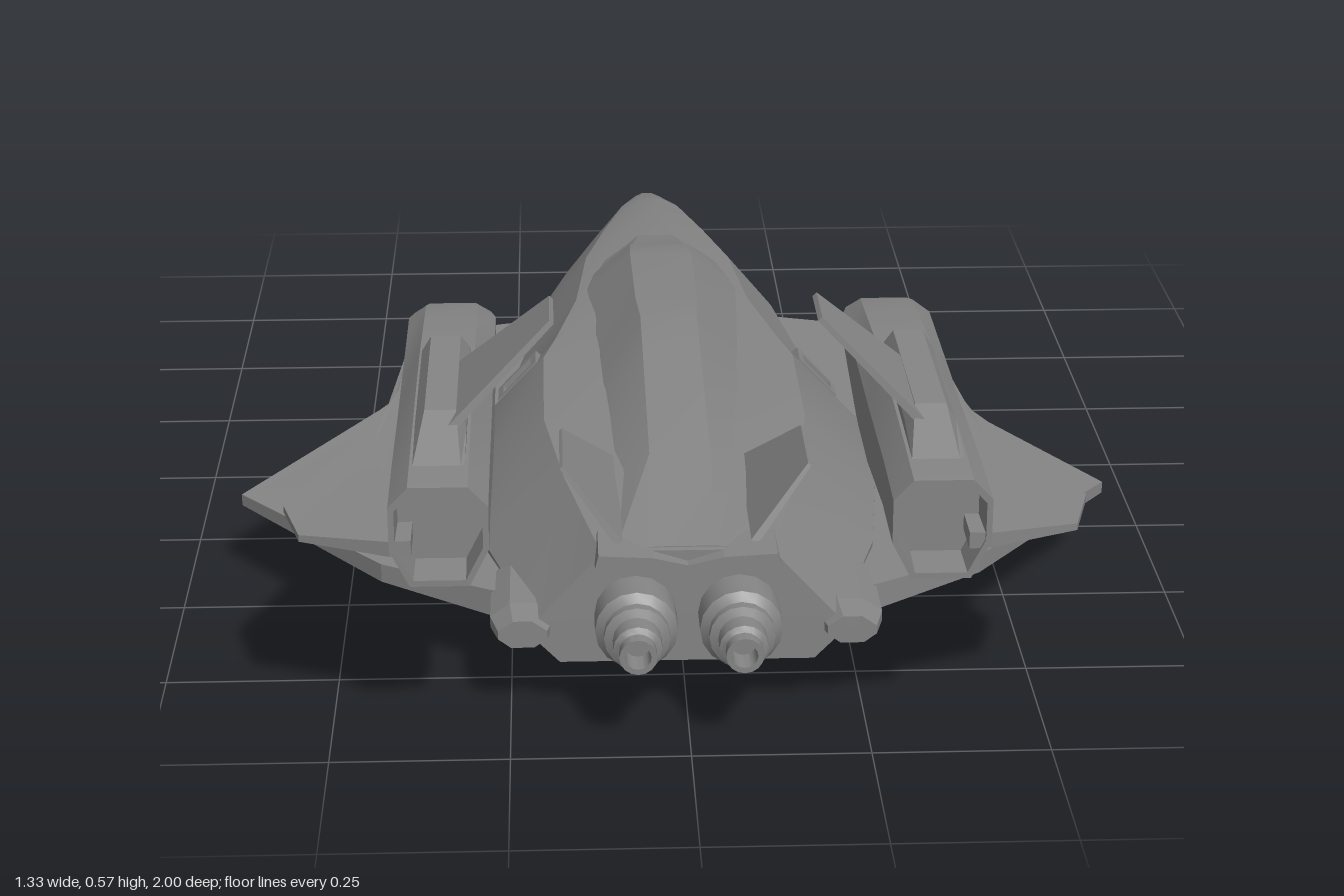
import * as THREE from 'three';
import { toCreasedNormals } from 'three/addons/utils/BufferGeometryUtils.js';

const material = new THREE.MeshStandardMaterial({ color: 0x858585, side: THREE.DoubleSide });

// Skins a list of closed rings, caps both ends, and turns the faces outward
function loft(name, rings, crease = 0.3) {
  const n = rings[0].length, pos = rings.flat(2), idx = [];
  for (let r = 0; r < rings.length - 1; r++) {
    for (let i = 0; i < n; i++) {
      const a = r * n + i, b = r * n + (i + 1) % n;
      idx.push(a, b, b + n, a, b + n, a + n);
    }
  }
  [0, rings.length - 1].forEach((r, end) => {
    const c = pos.length / 3;
    for (let k = 0; k < 3; k++) pos.push(rings[r].reduce((s, p) => s + p[k], 0) / n);
    for (let i = 0; i < n; i++) {
      const a = r * n + i, b = r * n + (i + 1) % n;
      idx.push(...(end ? [a, b, c] : [b, a, c]));
    }
  });
  const p = (i) => new THREE.Vector3().fromArray(pos, i * 3);
  let volume = 0;
  for (let i = 0; i < idx.length; i += 3) volume += p(idx[i]).dot(p(idx[i + 1]).cross(p(idx[i + 2])));
  if (volume < 0) idx.reverse();
  const g = new THREE.BufferGeometry();
  g.setAttribute('position', new THREE.Float32BufferAttribute(pos, 3));
  g.setIndex(idx);
  const mesh = new THREE.Mesh(toCreasedNormals(g, crease), material);
  mesh.name = name;
  return mesh;
}

// Symmetric cross-section at z from its +x half, listed bottom to top
const ring = (z, half, cx = 0) => [
  ...half.map(([x, y]) => [cx + x, y, z]),
  ...half.slice().reverse().map(([x, y]) => [cx - x, y, z]),
];

// Thin plate: corners are [x, y, z, half thickness] along the given normal
function plate(name, corners, normal, s) {
  const n = new THREE.Vector3(...normal).normalize().toArray();
  return loft(name, [-1, 1].map((d) => corners.map((c) => [
    s * (c[0] + d * n[0] * c[3]), c[1] + d * n[1] * c[3], c[2] + d * n[2] * c[3],
  ])), 0.1);
}

// Stepped round engine nozzle with a hollow end
function engine(s) {
  const profile = [[0, 0.78], [0.045, 0.78], [0.045, 0.85], [0.058, 0.86], [0.058, 0.915], [0.046, 0.925],
    [0.046, 0.94], [0.034, 0.945], [0.034, 0.975], [0.026, 0.98], [0.026, 1], [0.018, 1], [0.018, 0.96], [0, 0.96]];
  const g = new THREE.LatheGeometry(profile.map(([r, y]) => new THREE.Vector2(r, y)), 16);
  g.rotateX(Math.PI / 2);
  const mesh = new THREE.Mesh(toCreasedNormals(g, 0.5), material);
  mesh.name = 'engineNozzle';
  mesh.position.set(s * 0.073, 0.152, 0);
  return mesh;
}

// Rectangular vent frame lying on the sloped hull flank
function vent(s, x, y, tilt) {
  const shape = new THREE.Shape([[-0.025, -0.045], [0.025, -0.045], [0.025, 0.045], [-0.025, 0.045]]
    .map((p) => new THREE.Vector2(...p)));
  shape.holes.push(new THREE.Path([[-0.015, -0.033], [-0.015, 0.033], [0.015, 0.033], [0.015, -0.033]]
    .map((p) => new THREE.Vector2(...p))));
  const g = new THREE.ExtrudeGeometry(shape, { depth: 0.016, bevelEnabled: false });
  g.translate(0, 0, -0.008).rotateY(s * Math.PI / 2).rotateZ(s * tilt);
  const mesh = new THREE.Mesh(g, material);
  mesh.name = 'ventFrame';
  mesh.position.set(s * x, y, 0.095);
  return mesh;
}

function nacelle(s) {
  const group = new THREE.Group();
  group.name = 'nacelle';
  const cx = s * 0.342;
  const section = ([z, yb, yt, w, k = 1]) => {
    const m = (yb + yt) / 2, h = yt - yb;
    return ring(z, [[w * 0.6, yb], [w, yb + h * 0.37], [w, yt - h * 0.2], [w * 0.6, yt]]
      .map(([x, y]) => [x * k, m + (y - m) * k]), cx);
  };
  // Pod body, folding inward at the back to form the exhaust
  group.add(loft('nacelleBody', [
    [0.135, 0.305, 0.335, 0.045], [0.165, 0.29, 0.365, 0.06], [0.21, 0.275, 0.378, 0.068], [0.3, 0.248, 0.386, 0.068],
    [0.46, 0.204, 0.4, 0.068], [0.62, 0.203, 0.402, 0.068], [0.84, 0.248, 0.4, 0.068], [0.97, 0.25, 0.396, 0.068],
    [0.97, 0.25, 0.396, 0.068, 0.88], [0.9, 0.25, 0.396, 0.068, 0.86],
  ].map(section)));
  // Dorsal fairing
  group.add(loft('dorsalFairing', [[0.485, 0.41, 0.034], [0.505, 0.438, 0.022], [0.8, 0.44, 0.022], [0.9, 0.398, 0.03]]
    .map(([z, y, w]) => ring(z, [[0.036, 0.38], [0.036, Math.min(y, 0.415)], [w, y]], cx)), 0.1));
  // Outer winglet with a long leading strake, and canted inner fin
  group.add(plate('winglet', [[0.38, 0.307, 0.17, 0.005], [0.412, 0.307, 0.22, 0.005], [0.42, 0.307, 0.4, 0.007],
    [0.44, 0.305, 0.52, 0.009], [0.482, 0.303, 0.62, 0.009], [0.563, 0.302, 0.82, 0.005],
    [0.535, 0.302, 0.92, 0.005], [0.41, 0.304, 0.965, 0.011], [0.38, 0.304, 0.965, 0.012]], [0, 1, 0], s));
  group.add(plate('nacelleFin', [[0.33, 0.42, 0.6, 0.006], [0.186, 0.564, 0.69, 0.004],
    [0.186, 0.564, 0.79, 0.004], [0.33, 0.42, 0.83, 0.006]], [1, 1, 0], s));
  return group;
}

export function createModel() {
  const model = new THREE.Group();
  model.name = 'spacecraft';

  // Hull: z, bottom y, bottom half width, chine y, chine half width, shoulder y, shoulder half width, top y
  model.add(loft('hull', [
    [-1, 0.125, 0.014, 0.138, 0.026, 0.153, 0.014, 0.157],
    [-0.97, 0.11, 0.024, 0.137, 0.044, 0.166, 0.022, 0.172],
    [-0.8, 0.082, 0.06, 0.138, 0.105, 0.202, 0.052, 0.214],
    [-0.6, 0.055, 0.09, 0.142, 0.158, 0.222, 0.09, 0.236],
    [-0.4, 0.03, 0.13, 0.147, 0.203, 0.24, 0.125, 0.256],
    [-0.15, 0.01, 0.175, 0.15, 0.235, 0.252, 0.145, 0.265],
    [0.05, 0.002, 0.215, 0.15, 0.265, 0.26, 0.18, 0.268],
    [0.14, 0, 0.225, 0.15, 0.305, 0.261, 0.2, 0.268],
    [0.4, 0.04, 0.22, 0.15, 0.31, 0.26, 0.2, 0.266],
    [0.62, 0.06, 0.2, 0.148, 0.285, 0.256, 0.17, 0.262],
    [0.86, 0.078, 0.18, 0.14, 0.215, 0.245, 0.12, 0.248],
  ].map(([z, yb, wb, ym, wm, ys, ws, yt]) => ring(z, [
    [wb * 0.5, yb], [wb, yb], [wm, ym - (ym - yb) * 0.42], [wm, ym], [ws, ys], [ws * 0.4, yt],
  ])), 0.4));

  // Canopy and dorsal spine: z, base half width, top half width, top y
  model.add(loft('canopySpine', [
    [-0.5, 0.035, 0.03, 0.247], [-0.36, 0.1, 0.045, 0.276], [-0.29, 0.118, 0.05, 0.303], [-0.2, 0.135, 0.052, 0.315],
    [0.05, 0.135, 0.05, 0.328], [0.15, 0.13, 0.045, 0.334], [0.3, 0.125, 0.045, 0.32], [0.6, 0.11, 0.045, 0.285],
    [0.85, 0.1, 0.04, 0.25],
  ].map(([z, wb, wt, y]) => ring(z, [[wb, 0.22], [wb, 0.245], [wt, y]])), 0.3));

  // Tail deck lip with a shallow V underside
  model.add(loft('tailDeck', [0.8, 0.885].map((z) => [
    [-0.13, 0.232, z], [-0.05, 0.228, z], [0, 0.21, z], [0.05, 0.228, z], [0.13, 0.232, z],
    [0.125, 0.252, z], [0.05, 0.248, z], [0, 0.232, z], [-0.05, 0.248, z], [-0.125, 0.252, z],
  ]), 0.1));

  for (const s of [-1, 1]) {
    // Main wing
    model.add(plate('wing', [[0.14, 0.13, -0.36, 0.014], [0.21, 0.13, -0.35, 0.013], [0.31, 0.128, -0.33, 0.011],
      [0.36, 0.126, -0.17, 0.013], [0.47, 0.125, 0.05, 0.013], [0.667, 0.125, 0.38, 0.009], [0.44, 0.125, 0.655, 0.014],
      [0.28, 0.12, 0.75, 0.02], [0.14, 0.12, 0.83, 0.028]], [0, 1, 0], s));
    // Drooping nose strake
    model.add(plate('noseStrake', [[0.04, 0.128, -0.93, 0.005], [0.12, 0.098, -0.75, 0.006], [0.2, 0.05, -0.66, 0.004],
      [0.222, 0.055, -0.5, 0.004], [0.208, 0.085, -0.36, 0.006], [0.16, 0.13, -0.34, 0.012], [0.08, 0.13, -0.36, 0.012]],
    [0.45, 1, 0], s));
    // Small canted tail fin
    model.add(plate('tailFin', [[0.095, 0.25, 0.54, 0.006], [0.175, 0.346, 0.65, 0.003],
      [0.175, 0.346, 0.79, 0.003], [0.095, 0.25, 0.84, 0.006]], [-0.77, 0.64, 0], s));
    // Flattened side thruster pod
    model.add(loft('thrusterPod', [[0.64, 0.6], [0.69, 1], [0.83, 1], [0.875, 0.75]].map(([z, k]) =>
      ring(z, [[0.022, -0.026], [0.046, -0.008], [0.046, 0.008], [0.018, 0.028]]
        .map(([x, y]) => [x * k, 0.128 + y * k]), s * 0.232)), 0.1));
    model.add(vent(s, 0.238, 0.208, 0.75));
    model.add(vent(s, 0.257, 0.045, -0.75));
    model.add(engine(s), nacelle(s));
  }
  return model;
}
